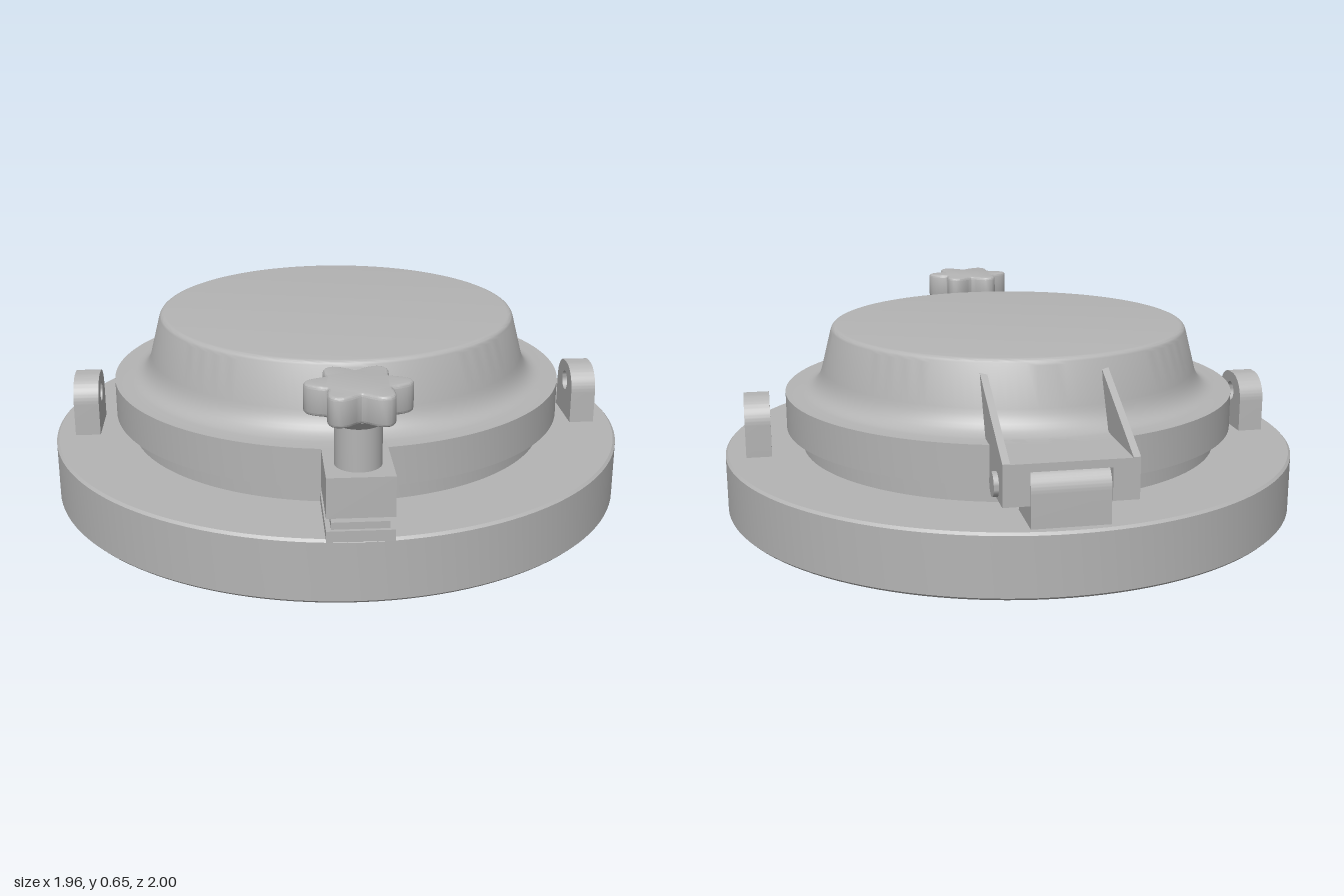
import * as THREE from 'three';
import { toCreasedNormals } from 'three/addons/utils/BufferGeometryUtils.js';

const CZ = -0.02; // axis of the round parts

export function createModel() {
  const group = new THREE.Group();
  group.name = 'hatch';
  const metal = new THREE.MeshStandardMaterial({ color: 0xb4b4b4 });
  metal.name = 'grey metal';

  const add = (name, geo, x = 0, y = 0, z = 0) => {
    const mesh = new THREE.Mesh(toCreasedNormals(geo, 0.55), metal);
    mesh.name = name;
    mesh.position.set(x, y, z);
    group.add(mesh);
    return mesh;
  };
  const lathe = (name, pts, z = CZ, seg = 128) =>
    add(name, new THREE.LatheGeometry(pts.map(p => new THREE.Vector2(p[0], p[1])), seg), 0, 0, z);
  const box = (name, x0, x1, y0, y1, z0, z1) =>
    add(name, new THREE.BoxGeometry(x1 - x0, y1 - y0, z1 - z0), (x0 + x1) / 2, (y0 + y1) / 2, (z0 + z1) / 2);
  // Side profile drawn in (-z, y), extruded along x
  const extrudeX = (name, shape, x0, x1, z = 0) => {
    const geo = new THREE.ExtrudeGeometry(shape, { depth: x1 - x0, bevelEnabled: false, curveSegments: 12 });
    geo.rotateY(Math.PI / 2);
    return add(name, geo, x0, 0, z);
  };
  // Upright tab with rounded upper corners
  const tabShape = (half, y0, y1, r) => {
    const s = new THREE.Shape();
    s.moveTo(-half, y0);
    s.lineTo(half, y0);
    s.lineTo(half, y1 - r);
    s.absarc(half - r, y1 - r, r, 0, Math.PI / 2, false);
    s.lineTo(-half + r, y1);
    s.absarc(-half + r, y1 - r, r, Math.PI / 2, Math.PI, false);
    s.lineTo(-half, y0);
    return s;
  };

  // Flange with neck and through bore
  lathe('flange', [[0.653, 0], [0.972, 0], [0.98, 0.008], [0.98, 0.197], [0.972, 0.205],
    [0.715, 0.205], [0.715, 0.275], [0.653, 0.275], [0.653, 0]]);

  // Hollow lid: rim, concave fillet, sloped wall, flat top
  const fillet = new THREE.QuadraticBezierCurve(
    new THREE.Vector2(0.715, 0.4), new THREE.Vector2(0.66, 0.405), new THREE.Vector2(0.643, 0.475));
  const shoulder = new THREE.QuadraticBezierCurve(
    new THREE.Vector2(0.611, 0.6), new THREE.Vector2(0.606, 0.62), new THREE.Vector2(0.588, 0.62));
  lathe('lid', [[0.653, 0.275], [0.77, 0.275], [0.77, 0.4],
    ...fillet.getPoints(8).map(p => p.toArray()),
    ...shoulder.getPoints(5).map(p => p.toArray()),
    [0, 0.62], [0, 0.59], [0.575, 0.59], [0.6, 0.56], [0.64, 0.44], [0.653, 0.38], [0.653, 0.275]]);

  // Lifting lugs, one on each side
  for (const [name, x0] of [['leftLug', 0.825], ['rightLug', -0.91]]) {
    const s = tabShape(0.1, 0.2, 0.4, 0.085);
    const hole = new THREE.Path();
    hole.absarc(0, 0.33, 0.034, 0, Math.PI * 2, true);
    s.holes.push(hole);
    extrudeX(name, s, x0, x0 + 0.085, CZ);
  }

  // Rear hinge: bracket plate, ears, gussets, knuckle and pin
  box('hingePlate', -0.2, 0.2, 0.375, 0.4, -0.965, -0.72);
  box('hingeWeb', -0.2, 0.2, 0.275, 0.39, -0.79, -0.72);
  const gusset = new THREE.Shape([[0.965, 0.395], [0.965, 0.402], [0.6, 0.58], [0.7, 0.395]]
    .map(p => new THREE.Vector2(p[0], p[1])));
  for (const s of [-1, 1]) {
    const ear = s < 0 ? [-0.2, -0.12] : [0.12, 0.2];
    box('hingeEar', ear[0], ear[1], 0.275, 0.4, -0.965, -0.75);
    const x0 = s < 0 ? -0.2 : 0.178;
    extrudeX('hingeGusset', gusset, x0, x0 + 0.022);
  }
  extrudeX('hingeKnuckle', tabShape(0.086, 0.2, 0.378, 0.07), -0.118, 0.118, -0.879);
  const pin = new THREE.CylinderGeometry(0.037, 0.037, 0.43, 32);
  pin.rotateZ(Math.PI / 2);
  add('hingePin', pin, 0, 0.318, -0.879);

  // Front latch: stepped seat on the flange and block on the lid
  box('latchSeat', -0.1, 0.1, 0.2, 0.235, 0.68, 0.962);
  box('latchSeatStep', -0.085, 0.085, 0.23, 0.257, 0.68, 0.95);
  box('latchBlock', -0.1, 0.1, 0.275, 0.4, 0.7, 0.962);

  // Clamp screw with flared collar
  const KZ = 0.858;
  lathe('clampScrew', [[0, 0.24], [0.036, 0.24], [0.036, 0.3], [0.07, 0.3], [0.07, 0.53],
    [0.105, 0.562], [0, 0.562]], KZ, 40);

  // Six-lobed hand knob
  const outline = [];
  for (let i = 0; i < 96; i++) {
    const a = (i / 96) * Math.PI * 2;
    const r = 0.122 + 0.026 * Math.cos(6 * a);
    outline.push(new THREE.Vector2(r * Math.cos(a), r * Math.sin(a)));
  }
  const knob = new THREE.ExtrudeGeometry(new THREE.Shape(outline), {
    depth: 0.07, bevelEnabled: true, bevelThickness: 0.01, bevelSize: 0.009, bevelSegments: 3 });
  knob.rotateX(-Math.PI / 2);
  add('knob', knob, 0, 0.57, KZ);

  return group;
}
